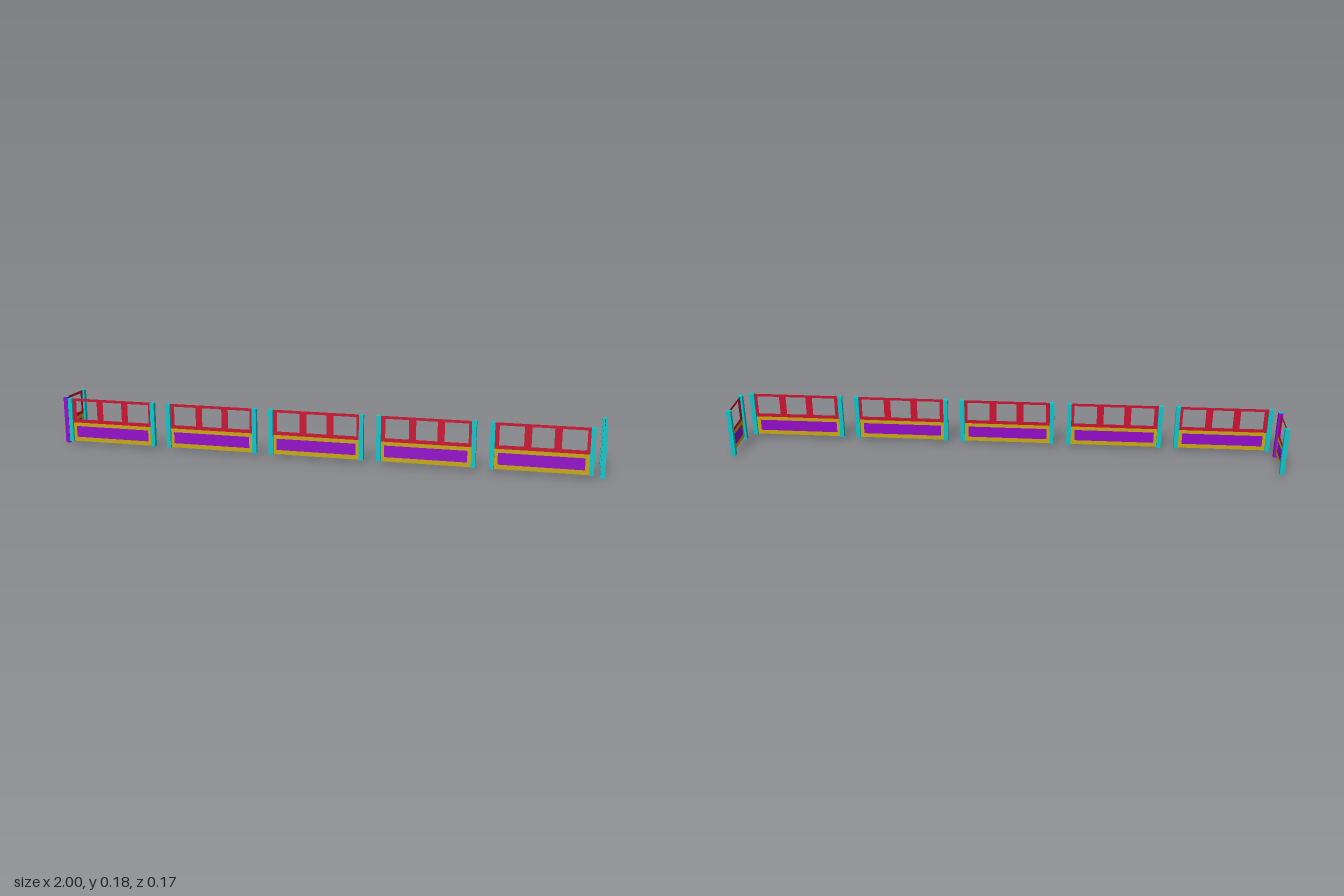
import * as THREE from 'three';

const mat = (color) => new THREE.MeshStandardMaterial({ color, side: THREE.DoubleSide });
const teal = mat(0x0cc6ca), red = mat(0xcc1030), yellow = mat(0xc9a80e), purple = mat(0x930bc9);

const POST = 0.016, TOP = 0.178, BASE = 0.013, MID = 0.085;

function rectPoints(x0, x1, y0, y1) {
  return [[x0, y0], [x1, y0], [x1, y1], [x0, y1]].map(([x, y]) => new THREE.Vector2(x, y));
}

// Flat rectangle [x0, x1, y0, y1] with rectangular holes
function sheet(name, material, rect, holes = []) {
  const shape = new THREE.Shape(rectPoints(...rect));
  for (const h of holes) shape.holes.push(new THREE.Path(rectPoints(...h).reverse()));
  const mesh = new THREE.Mesh(new THREE.ShapeGeometry(shape), material);
  mesh.name = name;
  return mesh;
}

// Thin railing panel: windowed red frame over a yellow frame with a purple inset
function panel(name, x0, x1, windows, inset) {
  const group = new THREE.Group();
  group.name = name;
  const insetRect = [...inset, 0.029, 0.071];
  group.add(
    sheet('windowFrame', red, [x0, x1, MID, TOP], windows.map(([a, b]) => [a, b, 0.098, 0.168])),
    sheet('lowerFrame', yellow, [x0, x1, BASE, MID], [insetRect]),
    sheet('lowerInset', purple, insetRect),
  );
  return group;
}

function post(x, z, bottom, sides = teal) {
  const geometry = new THREE.BoxGeometry(POST, TOP - bottom, POST);
  const mesh = new THREE.Mesh(geometry, [sides, sides, teal, teal, sides, sides]);
  mesh.name = 'post';
  mesh.position.set(x, (TOP + bottom) / 2, z);
  return mesh;
}

export function createModel() {
  const model = new THREE.Group();
  model.name = 'railing';

  // Five front sections, each between two posts
  const half = 0.1665, frontZ = 0.08;
  for (let i = 0; i < 5; i++) {
    const x = -0.796 + i * 0.396;
    const section = new THREE.Group();
    section.name = 'frontSection';
    const front = panel('frontPanel', -half, half,
      [[-0.144, -0.06], [-0.035, 0.04], [0.065, 0.148]], [-0.147, 0.145]);
    front.position.set(x, 0, frontZ);
    section.add(front, post(x - half, frontZ, BASE), post(x + half, frontZ, BASE));
    model.add(section);
  }

  // End sections, turned so the panel runs along z
  for (const side of [-1, 1]) {
    const x = side * (1 - POST / 2);
    const section = new THREE.Group();
    section.name = side > 0 ? 'leftEndSection' : 'rightEndSection';
    const end = panel('endPanel', -0.079, 0.057, [[-0.056, 0.024]], [-0.056, 0.037]);
    end.rotation.y = -Math.PI / 2;
    end.position.x = x;
    // The right front corner post has purple sides
    section.add(end, post(x, 0.057, 0, side < 0 ? purple : teal), post(x, -0.079, 0));
    model.add(section);
  }
  return model;
}
